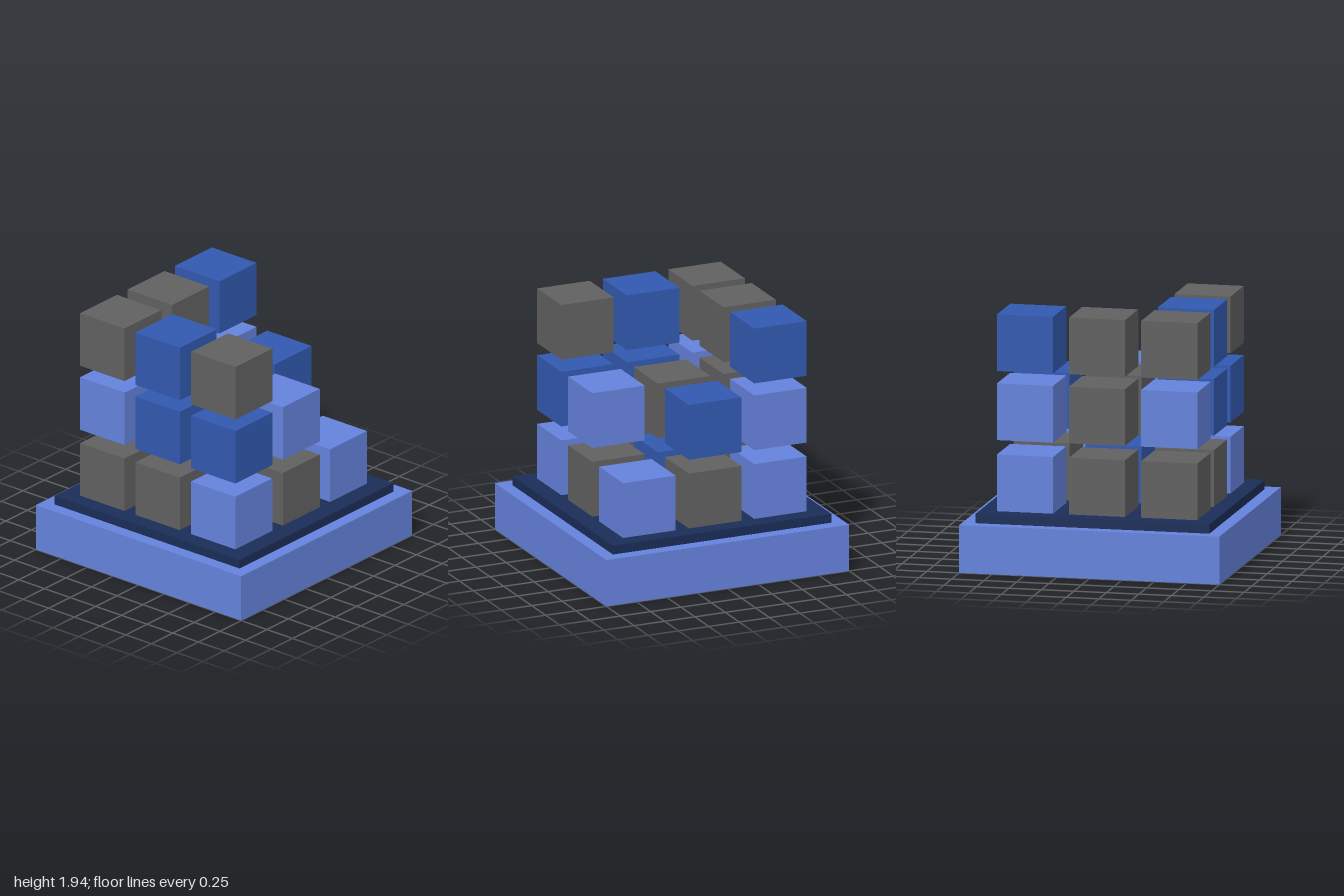
import * as THREE from 'three';

const mat = (color) => new THREE.MeshStandardMaterial({ color });

export function createModel() {
  const model = new THREE.Group();
  model.name = 'cubeStackOnBase';

  const light = mat(0x6582dc), blue = mat(0x3259b0), grey = mat(0x606060), navy = mat(0x1a2d57);
  const colors = { L: light, B: blue, G: grey };

  const addBox = (name, [w, h, d], [x, y, z], material, parent = model) => {
    const mesh = new THREE.Mesh(new THREE.BoxGeometry(w, h, d), material);
    mesh.name = name;
    mesh.position.set(x, y, z);
    parent.add(mesh);
  };

  // Base slab and the inset plate on it
  addBox('base', [2, 0.365, 2], [0, 0.1825, 0], light);
  addBox('plate', [1.8, 0.07, 1.8], [0, 0.4, 0], navy);

  // Floating cubes: layers bottom to top, rows back to front, columns by rising x; '.' is empty
  const layers = [
    ['GGL', 'GBG', 'LGL'],
    ['LGL', 'BGB', 'BL.'],
    ['GGB', 'B..', 'G..'],
  ];
  const size = 0.432;
  const xs = [-0.558, -0.002, 0.552];
  const ys = [0.651, 1.193, 1.72];
  const zs = [-0.541, -0.002, 0.539];
  const layerNames = ['bottom', 'middle', 'top'];

  layers.forEach((rows, j) => {
    const layer = new THREE.Group();
    layer.name = `${layerNames[j]}CubeLayer`;
    rows.forEach((row, k) => [...row].forEach((key, i) => {
      if (key === '.') return;
      addBox(`${layerNames[j]}Cube`, [size, size, size], [xs[i], ys[j], zs[k]], colors[key], layer);
    }));
    model.add(layer);
  });

  return model;
}
